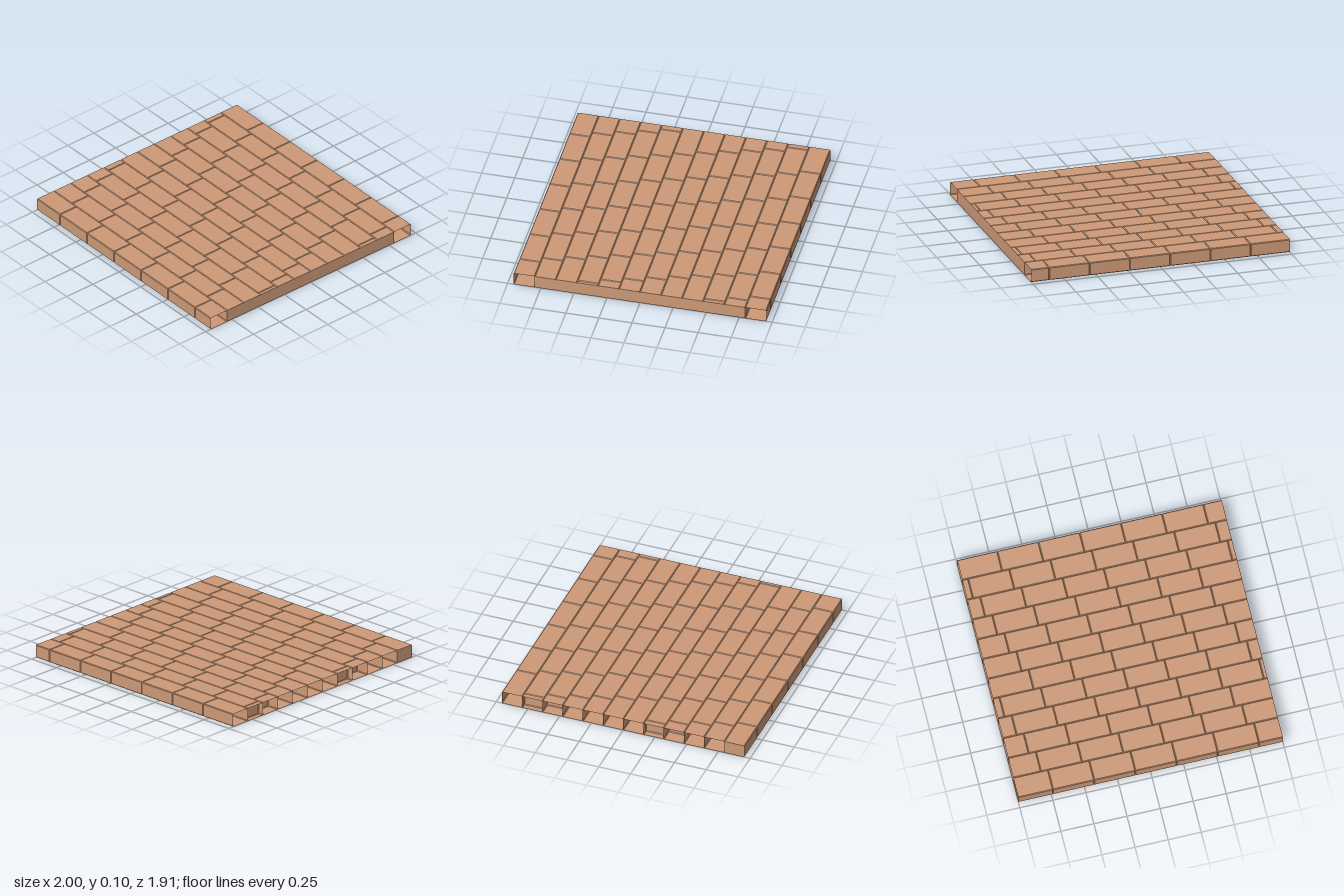
import * as THREE from 'three';

const ROWS = 12, DEPTH = 1.91 / ROWS, HEIGHT = 0.1;
const LENGTH = 0.3116, SHIFT = 0.053, FIRST = -0.738, BEVEL = 0.005;

// Octagonal section of a brick as [z, y]; the end ring shrinks to its inner rectangle
function section(end) {
  const d = DEPTH / 2, h = HEIGHT / 2, b = BEVEL;
  const e = end ? b : 0;
  return [
    [d - e, b - h], [d - e, h - b], [d - b, h - e], [b - d, h - e],
    [e - d, h - b], [e - d, b - h], [b - d, e - h], [d - b, e - h],
  ];
}

// Hollow bevelled brick from x0 to x1; a cut end is straight and may stay open
function brickGeometry(x0, x1, left, right) {
  const rings = [];
  if (!left.cut) rings.push([x0, true]);
  rings.push([left.cut ? x0 : x0 + BEVEL, false]);
  rings.push([right.cut ? x1 : x1 - BEVEL, false]);
  if (!right.cut) rings.push([x1, true]);

  const positions = [], index = [];
  for (const [x, end] of rings) {
    for (const [z, y] of section(end)) positions.push(x, y, z);
  }
  const last = (rings.length - 1) * 8;
  for (let r = 0; r < last; r += 8) {
    for (let j = 0; j < 8; j++) {
      const k = (j + 1) % 8;
      index.push(r + j, r + 8 + j, r + 8 + k, r + j, r + 8 + k, r + k);
    }
  }
  for (let j = 1; j < 7; j++) {
    if (!left.open) index.push(0, j, j + 1);
    if (!right.open) index.push(last, last + j + 1, last + j);
  }
  const geometry = new THREE.BufferGeometry();
  geometry.setAttribute('position', new THREE.Float32BufferAttribute(positions, 3));
  geometry.setIndex(index);
  const flat = geometry.toNonIndexed();
  flat.computeVertexNormals();
  return flat;
}

export function createModel() {
  const model = new THREE.Group();
  model.name = 'brickFloor';
  const clay = new THREE.MeshStandardMaterial({
    color: 0xcc9977, flatShading: true, side: THREE.DoubleSide,
  });

  // Rows from back to front, each stepped sideways against the next
  for (let r = 0; r < ROWS; r++) {
    const row = new THREE.Group();
    row.name = `brickRow${r + 1}`;
    row.position.set(0, HEIGHT / 2, (r + 0.5 - ROWS / 2) * DEPTH);

    let x = FIRST - SHIFT * (ROWS - 1 - r);
    while (x > -1) x -= LENGTH;
    while (x + LENGTH < -1) x += LENGTH;
    for (; x < 1; x += LENGTH) {
      // Bricks are trimmed at the floor edges; some trimmed ends are open
      const cutLeft = x < -1, cutRight = x + LENGTH > 1;
      const brick = new THREE.Mesh(brickGeometry(
        Math.max(x, -1), Math.min(x + LENGTH, 1),
        { cut: cutLeft, open: cutLeft && r < ROWS - 1 },
        { cut: cutRight, open: cutRight && (r === 0 || r === ROWS - 1) },
      ), clay);
      brick.name = 'brick';
      row.add(brick);
    }
    model.add(row);
  }
  return model;
}
